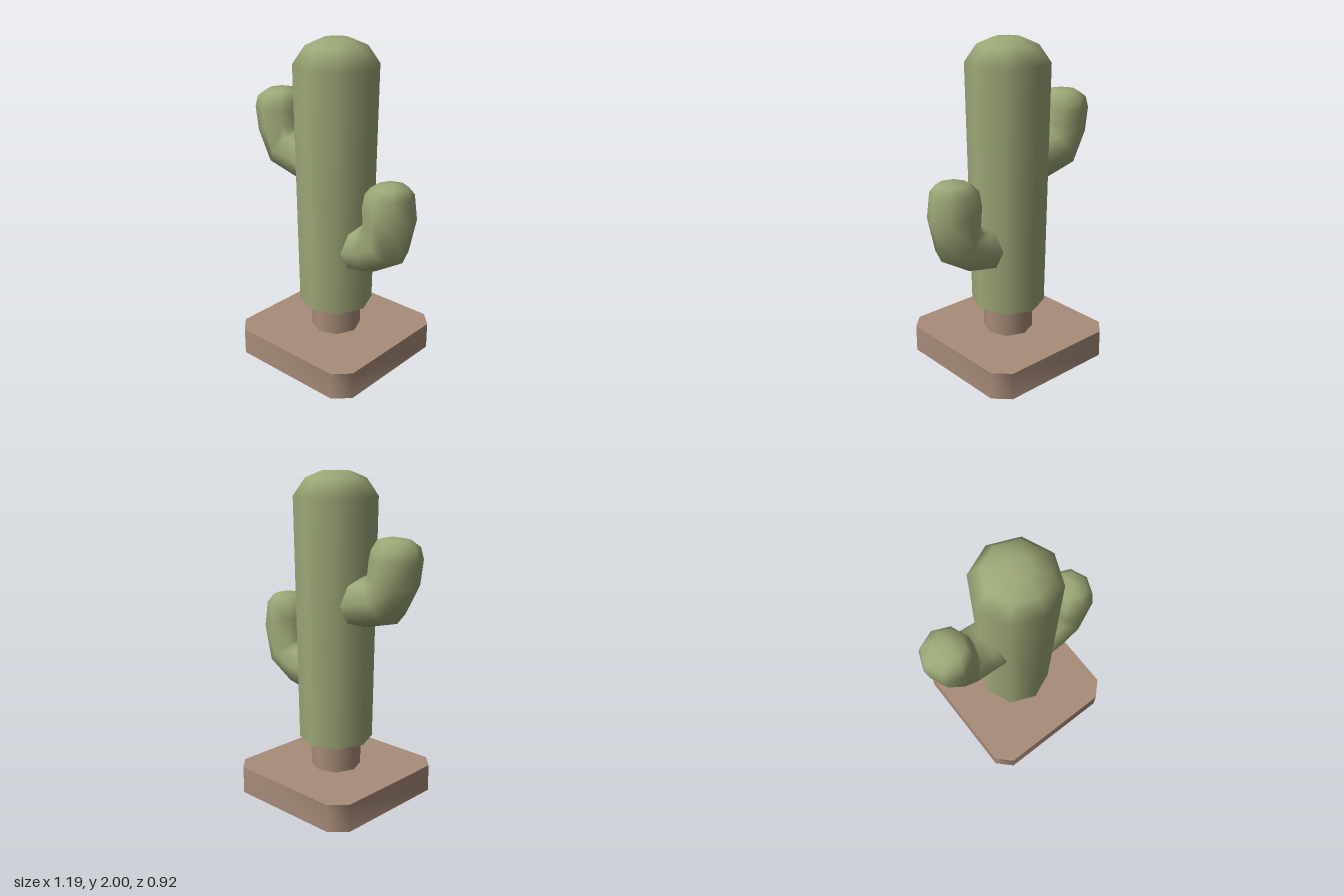
import * as THREE from 'three';
import { toCreasedNormals } from 'three/addons/utils/BufferGeometryUtils.js';

const SIDES = 8;
const CX = 0.02; // trunk and base axis

function mat(name, color) {
  const m = new THREE.MeshStandardMaterial({ color });
  m.name = name;
  return m;
}

// Bent tube: each ring is given by its outer and inner outline points, depth follows its width
function bentTube(rings, end) {
  const pos = [], idx = [];
  for (const [ox, oy, ix, iy] of rings) {
    const depth = Math.min(0.155, Math.hypot(ox - ix, oy - iy) / 2);
    for (let k = 0; k < SIDES; k++) {
      const a = (k / SIDES) * Math.PI * 2, c = Math.cos(a) / 2;
      pos.push((ox + ix) / 2 + (ox - ix) * c, (oy + iy) / 2 + (oy - iy) * c, depth * Math.sin(a));
    }
  }
  const apex = pos.length / 3;
  pos.push(end[0], end[1], 0);
  // Arms on the -x side run the other way round, so their winding flips
  const flip = end[0] < 0;
  const tri = (a, b, c) => (flip ? idx.push(a, b, c) : idx.push(a, c, b));
  for (let r = 0; r < rings.length; r++) {
    for (let k = 0; k < SIDES; k++) {
      const n = (k + 1) % SIDES, a = r * SIDES + k, b = r * SIDES + n;
      if (r === rings.length - 1) tri(a, b, apex);
      else {
        tri(a, b, b + SIDES);
        tri(a, b + SIDES, a + SIDES);
      }
    }
  }
  const g = new THREE.BufferGeometry();
  g.setAttribute('position', new THREE.Float32BufferAttribute(pos, 3));
  g.setIndex(idx);
  g.computeVertexNormals();
  return g;
}

export function createModel() {
  const group = new THREE.Group();
  const green = mat('cactusGreen', 0x9ca777);
  const brown = mat('warmBrown', 0xa88c7a);
  const add = (name, geometry, material, x = 0, y = 0) => {
    const mesh = new THREE.Mesh(geometry, material);
    mesh.name = name;
    mesh.position.set(x, y, 0);
    group.add(mesh);
    return mesh;
  };

  // Square base with cut corners
  const h = 0.46, c = 0.37;
  const plan = new THREE.Shape(
    [[h, -c], [h, c], [c, h], [-c, h], [-h, c], [-h, -c], [-c, -h], [c, -h]].map(([x, y]) => new THREE.Vector2(x, y)));
  const slab = new THREE.ExtrudeGeometry(plan, { depth: 0.17, bevelEnabled: false });
  slab.rotateX(-Math.PI / 2);
  add('base', toCreasedNormals(slab, Math.PI / 3), brown, CX);

  // Short post between base and trunk
  add('post', new THREE.CylinderGeometry(0.155, 0.155, 0.2, SIDES), brown, CX, 0.265);

  // Trunk widening upward into a rounded top
  const profile = [[0.228, 0.355], [0.252, 1.855], [0.18, 1.96], [0.085, 2.0], [0, 2.0]];
  add('trunk', new THREE.LatheGeometry(profile.map(([r, y]) => new THREE.Vector2(r, y)), SIDES), green, CX);
  const under = new THREE.CircleGeometry(0.228, SIDES);
  under.rotateX(Math.PI / 2);
  add('trunkUnderside', under, green, CX, 0.355);

  // Lower arm on +x, upper arm on -x
  add('leftArm', bentTube([
    [0.13, 0.60, 0.09, 0.90],
    [0.33, 0.64, 0.25, 0.938],
    [0.533, 0.762, 0.29, 0.945],
    [0.595, 0.99, 0.265, 1.10],
    [0.572, 1.16, 0.285, 1.17],
    [0.538, 1.21, 0.35, 1.216],
  ], [0.46, 1.232]), green);
  add('rightArm', bentTube([
    [-0.05, 1.06, -0.02, 1.36],
    [-0.225, 1.105, -0.21, 1.415],
    [-0.46, 1.165, -0.27, 1.41],
    [-0.575, 1.37, -0.28, 1.45],
    [-0.598, 1.53, -0.29, 1.53],
    [-0.58, 1.60, -0.302, 1.585],
    [-0.52, 1.64, -0.33, 1.637],
  ], [-0.41, 1.656]), green);

  return group;
}
